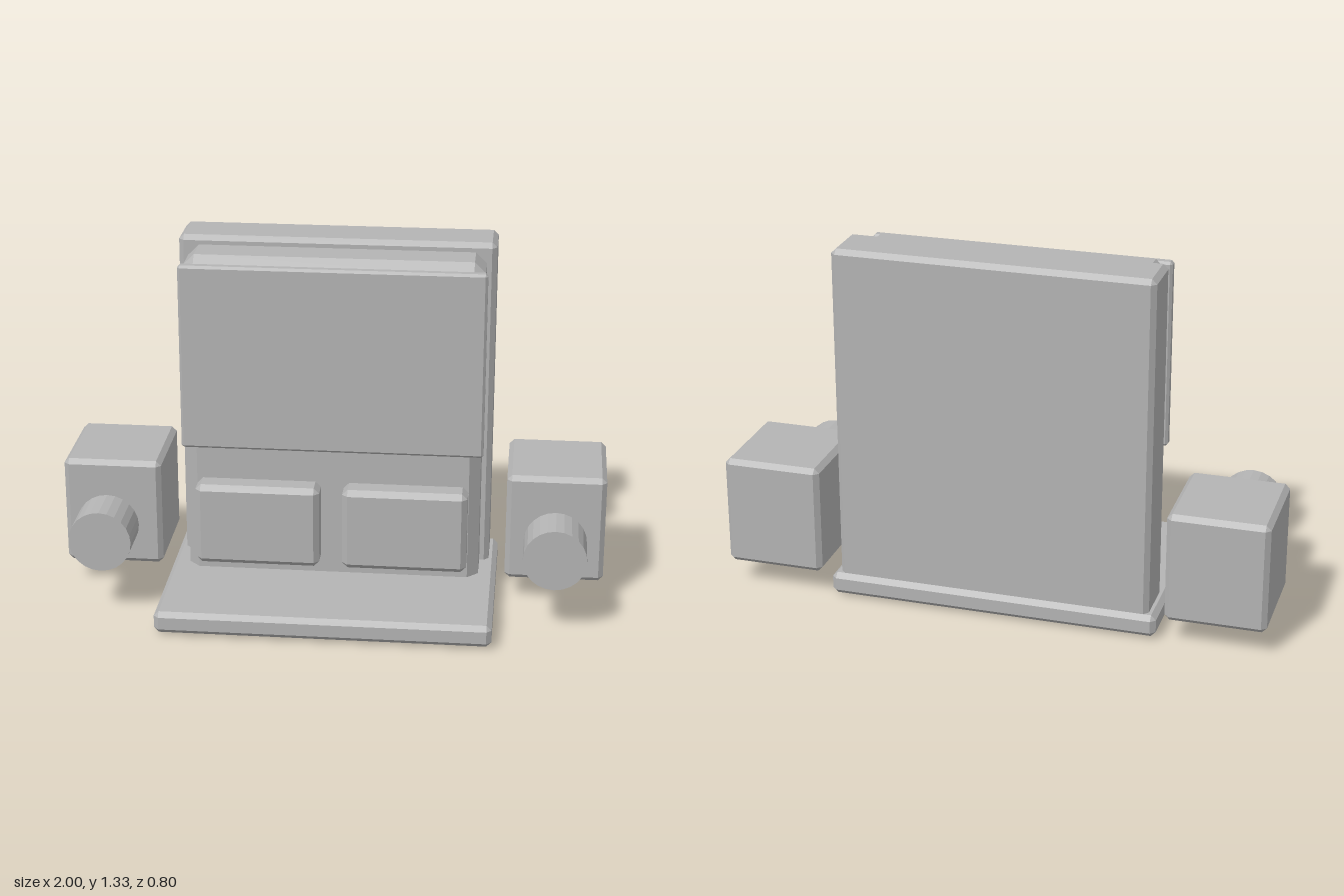
import * as THREE from 'three';
import { ConvexGeometry } from 'three/addons/geometries/ConvexGeometry.js';

// Box between two corners with every edge and corner chamfered by c
function chamferBox([x0, y0, z0], [x1, y1, z1], c) {
  const half = [(x1 - x0) / 2, (y1 - y0) / 2, (z1 - z0) / 2];
  const points = [];
  for (const sx of [-1, 1]) for (const sy of [-1, 1]) for (const sz of [-1, 1]) {
    for (let axis = 0; axis < 3; axis++) {
      // one point per face meeting at this corner
      const [hx, hy, hz] = half.map((h, i) => (i === axis ? h : h - c));
      points.push(new THREE.Vector3(sx * hx, sy * hy, sz * hz));
    }
  }
  return new ConvexGeometry(points).translate((x0 + x1) / 2, (y0 + y1) / 2, (z0 + z1) / 2);
}

// Cylinder along z from z0 to z1
function rod(radius, z0, z1, x, y) {
  return new THREE.CylinderGeometry(radius, radius, z1 - z0, 24)
    .rotateX(Math.PI / 2)
    .translate(x, y, (z0 + z1) / 2);
}

export function createModel() {
  const group = new THREE.Group();
  const grey = new THREE.MeshStandardMaterial({ color: 0xb4b4b4, flatShading: true });
  grey.name = 'plain grey';

  const add = (name, geometry, parent = group) => {
    const mesh = new THREE.Mesh(geometry, grey);
    mesh.name = name;
    parent.add(mesh);
  };

  // Upright body standing on a flat base
  add('base', chamferBox([-0.605, 0.01, -0.385], [0.605, 0.092, 0.4], 0.018));
  add('backPanel', chamferBox([-0.575, 0, -0.367], [0.575, 1.33, -0.17], 0.018));
  add('middlePanel', chamferBox([-0.54, 0.04, -0.21], [0.54, 1.297, -0.01], 0.04));
  add('frontScreen', chamferBox([-0.55, 0.583, -0.013], [0.55, 1.275, 0.027], 0.009));

  for (const [side, s] of [['left', 1], ['right', -1]]) {
    // Raised pad below the screen
    const pad = s * 0.27;
    add(side + 'Pad', chamferBox([pad - 0.228, 0.143, -0.03], [pad + 0.228, 0.453, 0.075], 0.02));

    // Free-standing side unit with knob and foot strip
    const unit = new THREE.Group();
    unit.name = side + 'SideUnit';
    group.add(unit);
    const cx = s * 0.819;
    add(side + 'SideBox', chamferBox([cx - 0.181, 0.094, -0.4], [cx + 0.181, 0.502, -0.01], 0.018), unit);
    add(side + 'KnobStem', rod(0.048, 0, 0.083, cx, 0.295), unit);
    add(side + 'Knob', rod(0.114, 0.09, 0.256, cx, 0.296), unit);
    const strip = new THREE.BoxGeometry(0.2, 0.03, 0.015).translate(cx, 0.094, -0.188);
    add(side + 'FootStrip', strip, unit);
  }
  return group;
}
